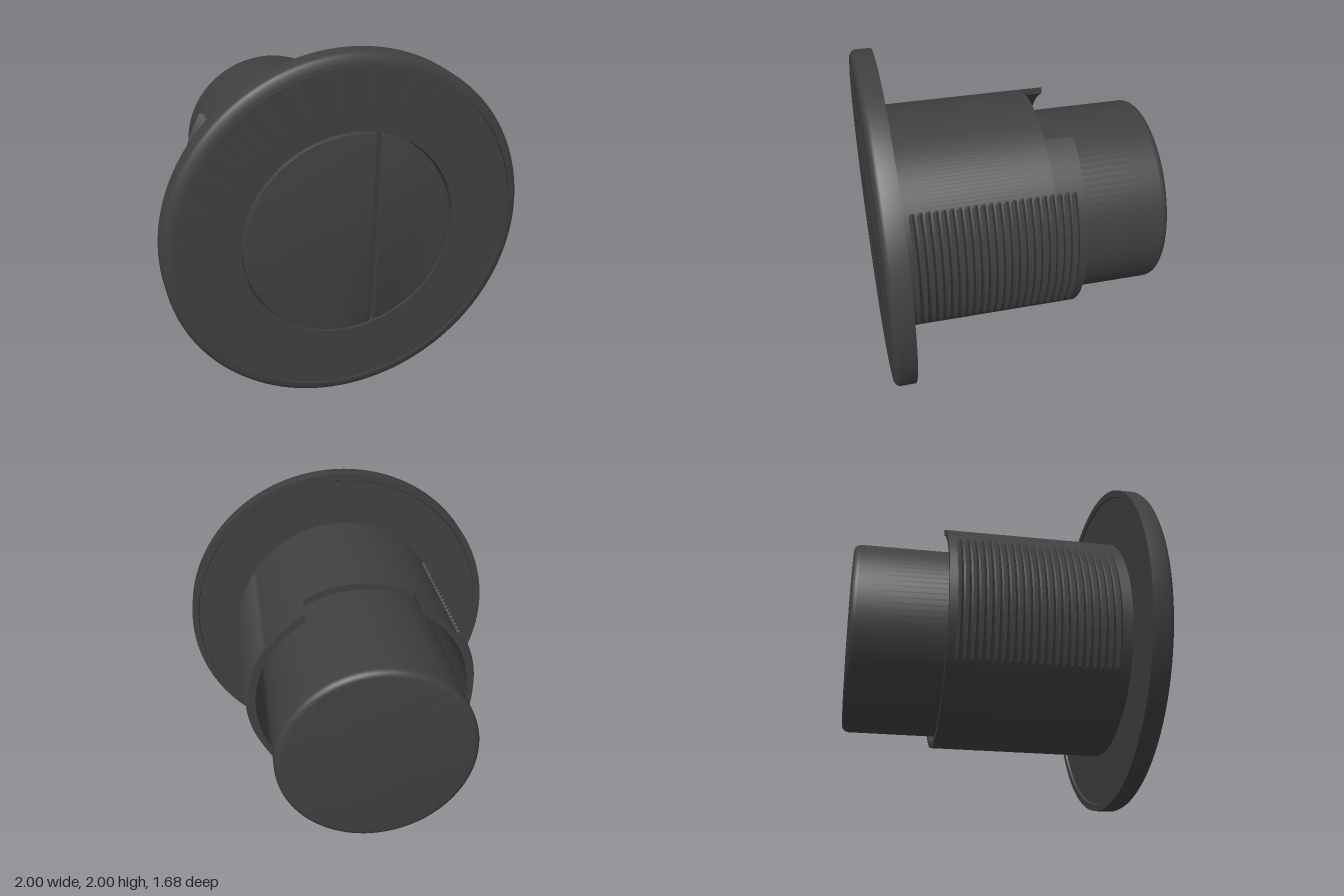
import * as THREE from 'three';
import { toCreasedNormals } from 'three/addons/utils/BufferGeometryUtils.js';

const SEGMENTS = 96;
const CENTRE_Y = 1;

// Revolves [radius, z] points about the z axis
function turned(points, segments = SEGMENTS) {
  const geometry = new THREE.LatheGeometry(points.map(([r, z]) => new THREE.Vector2(r, z)), segments);
  geometry.rotateX(Math.PI / 2);
  return toCreasedNormals(geometry, 0.6);
}

// Extrudes a shape in xy between two z positions
function extruded(shape, z0, z1, bevel = 0) {
  const geometry = new THREE.ExtrudeGeometry(shape, {
    depth: z1 - z0 - 2 * bevel,
    curveSegments: SEGMENTS,
    bevelEnabled: bevel > 0,
    bevelThickness: bevel,
    bevelSize: bevel,
    bevelOffset: -bevel,
    bevelSegments: 2,
  });
  geometry.translate(0, 0, z0 + bevel);
  return toCreasedNormals(geometry, 0.5);
}

// Bank of thread ridges on the +x side, sinking into the sleeve at both ends
function ridgeBank(zStart, zEnd, count, root, peak, halfAngle) {
  const pitch = (zEnd - zStart) / count;
  const points = [new THREE.Vector2(root, zStart)];
  for (let i = 0; i < count; i++) {
    points.push(new THREE.Vector2(peak, zStart + (i + 0.5) * pitch));
    points.push(new THREE.Vector2(root, zStart + (i + 1) * pitch));
  }
  const columns = 40;
  const geometry = new THREE.LatheGeometry(points, columns, Math.PI / 2 - halfAngle, 2 * halfAngle);
  const position = geometry.attributes.position;
  for (const column of [0, columns]) {
    for (let j = 0; j < points.length; j++) {
      const k = column * points.length + j;
      const scale = root / Math.hypot(position.getX(k), position.getZ(k));
      position.setX(k, position.getX(k) * scale);
      position.setZ(k, position.getZ(k) * scale);
    }
  }
  geometry.rotateX(Math.PI / 2);
  return toCreasedNormals(geometry, 0.4);
}

export function createModel() {
  const model = new THREE.Group();
  model.name = 'flushButton';
  const charcoal = new THREE.MeshStandardMaterial({ color: 0x404040 });
  charcoal.name = 'charcoal';

  const add = (name, geometry, y = CENTRE_Y) => {
    const mesh = new THREE.Mesh(geometry, charcoal);
    mesh.name = name;
    mesh.position.y = y;
    model.add(mesh);
    return mesh;
  };

  // Front flange with rounded rim, a fine groove and a shallow rear recess
  add('flange', turned([
    [0.594, 0.725], [0.955, 0.725], [0.96, 0.715], [1, 0.715],
    [1, 0.808], [0.992, 0.823], [0.975, 0.835], [0.944, 0.838],
    [0.944, 0.825], [0.935, 0.825], [0.935, 0.838],
    [0.594, 0.838], [0.594, 0.725],
  ], 128));

  // Threaded sleeve
  const outer = 0.667;
  const inner = 0.63;
  const ring = new THREE.Shape().absarc(0, 0, outer, 0, Math.PI * 2, false);
  ring.holes.push(new THREE.Path().absarc(0, 0, inner, 0, Math.PI * 2, true));
  add('sleeve', extruded(ring, -0.14, 0.73));

  // Rear end of the sleeve, with a straight-sided notch at the top
  const notch = 0.32;
  const outerAngle = Math.acos(notch / outer);
  const innerAngle = Math.acos(notch / inner);
  const collar = new THREE.Shape();
  collar.absarc(0, 0, outer, Math.PI - outerAngle, Math.PI * 2 + outerAngle, false);
  collar.absarc(0, 0, inner, Math.PI * 2 + innerAngle, Math.PI - innerAngle, true);
  add('notchedSleeveEnd', extruded(collar, -0.305, -0.14));

  // Thread ridges on both sides
  const ridges = ridgeBank(-0.265, 0.67, 22, 0.66, 0.688, 0.605);
  add('leftThread', ridges);
  add('rightThread', ridges).rotation.z = Math.PI;

  // Split push buttons, wide one on the right and narrow one on the left
  const radius = 0.584;
  const wideAngle = Math.acos(0.135 / radius);
  const narrowAngle = Math.acos(0.155 / radius);
  const wide = new THREE.Shape().absarc(0, 0, radius, wideAngle, Math.PI * 2 - wideAngle, false);
  const narrow = new THREE.Shape().absarc(0, 0, radius, -narrowAngle, narrowAngle, false);
  add('wideButton', extruded(wide, 0.74, 0.838, 0.008));
  add('narrowButton', extruded(narrow, 0.74, 0.838, 0.008));
  add('buttonBacking', turned([[0, 0.62], [0.575, 0.62], [0.575, 0.75], [0, 0.75]]));

  // Rear canister, set slightly low in the sleeve
  const body = 0.564;
  const fillet = 0.04;
  const profile = [[0, -0.838]];
  for (let i = 0; i <= 6; i++) {
    const a = (i / 6) * Math.PI / 2;
    profile.push([body - fillet + fillet * Math.sin(a), -0.838 + fillet - fillet * Math.cos(a)]);
  }
  profile.push([body, 0.5], [0, 0.5]);
  add('rearCanister', turned(profile), 0.965);

  return model;
}
